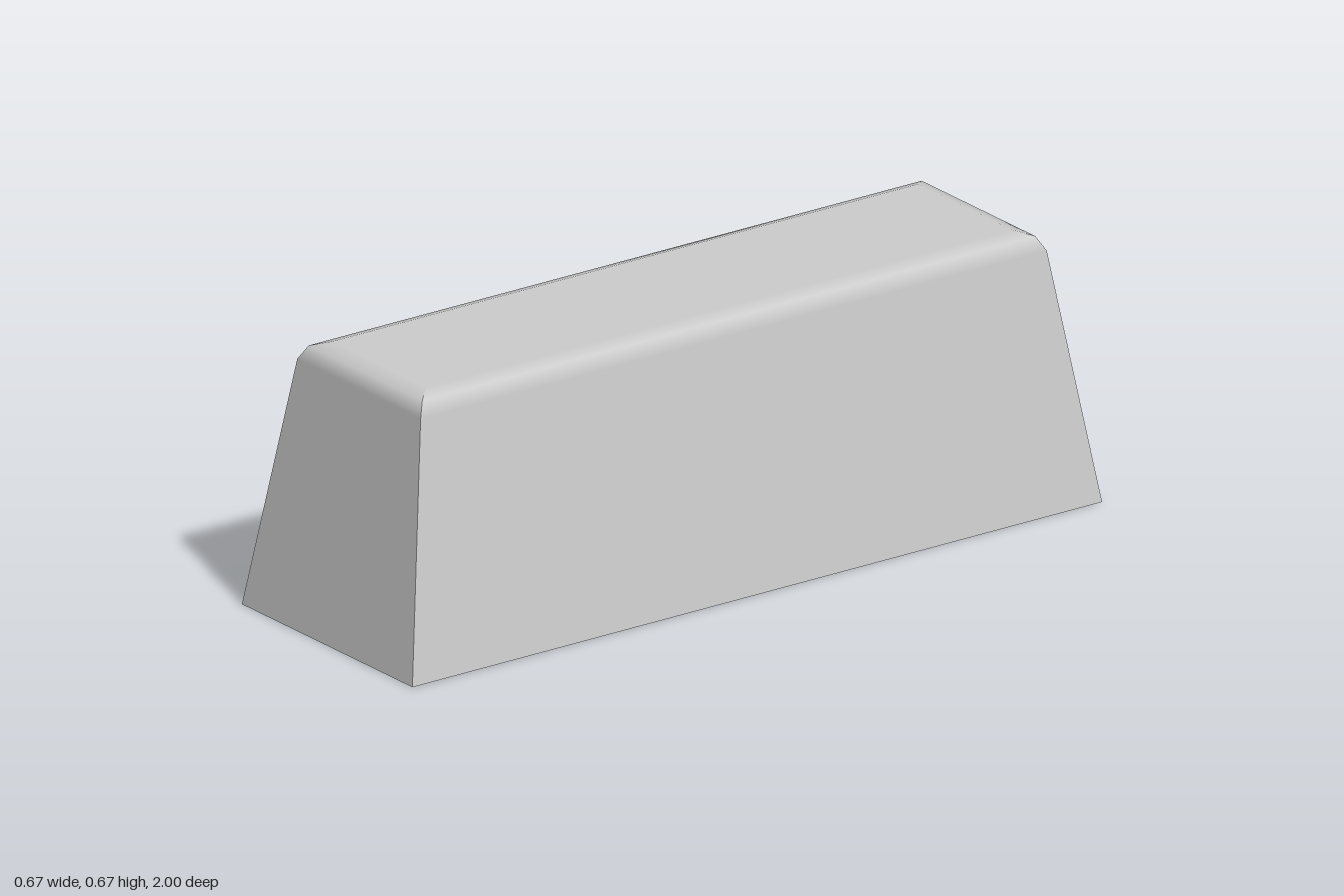
import * as THREE from 'three';

const HALF_X = 0.333, HALF_Z = 1;
// Side profile: inset from the base outline, height, tilt of the normal above horizontal
const PROFILE = [
  { inset: 0, y: 0, tilt: 0.146 },
  { inset: 0.092, y: 0.62, tilt: 0.146 },
  { inset: 0.111, y: 0.655, tilt: 0.88 },
  { inset: 0.15, y: 0.668, tilt: Math.PI / 2 },
];

// One side: flat sloping wall running into a smooth rounded shoulder
function sideGeometry(halfWidth, distance) {
  const positions = [], normals = [], index = [];
  PROFILE.forEach(({ inset, y, tilt }, i) => {
    for (const s of [-1, 1]) {
      positions.push(s * (halfWidth - inset), y, distance - inset);
      normals.push(0, Math.sin(tilt), Math.cos(tilt));
    }
    if (i > 0) {
      const a = 2 * (i - 1);
      index.push(a, a + 1, a + 3, a, a + 3, a + 2);
    }
  });
  const geometry = new THREE.BufferGeometry();
  geometry.setAttribute('position', new THREE.Float32BufferAttribute(positions, 3));
  geometry.setAttribute('normal', new THREE.Float32BufferAttribute(normals, 3));
  geometry.setIndex(index);
  return geometry;
}

export function createModel() {
  const group = new THREE.Group();
  group.name = 'taperedBlock';
  const material = new THREE.MeshStandardMaterial({ color: 0xcccccc });
  const add = (name, geometry) => {
    const mesh = new THREE.Mesh(geometry, material);
    mesh.name = name;
    group.add(mesh);
    return mesh;
  };

  // Four sides, mitred at the corners
  ['frontSide', 'leftSide', 'backSide', 'rightSide'].forEach((name, i) => {
    const geometry = i % 2 ? sideGeometry(HALF_Z, HALF_X) : sideGeometry(HALF_X, HALF_Z);
    add(name, geometry).rotation.y = i * Math.PI / 2;
  });

  // Flat top and underside
  const { inset, y } = PROFILE[PROFILE.length - 1];
  const top = add('top', new THREE.PlaneGeometry(2 * (HALF_X - inset), 2 * (HALF_Z - inset)));
  top.rotation.x = -Math.PI / 2;
  top.position.y = y;
  add('underside', new THREE.PlaneGeometry(2 * HALF_X, 2 * HALF_Z)).rotation.x = Math.PI / 2;

  return group;
}
